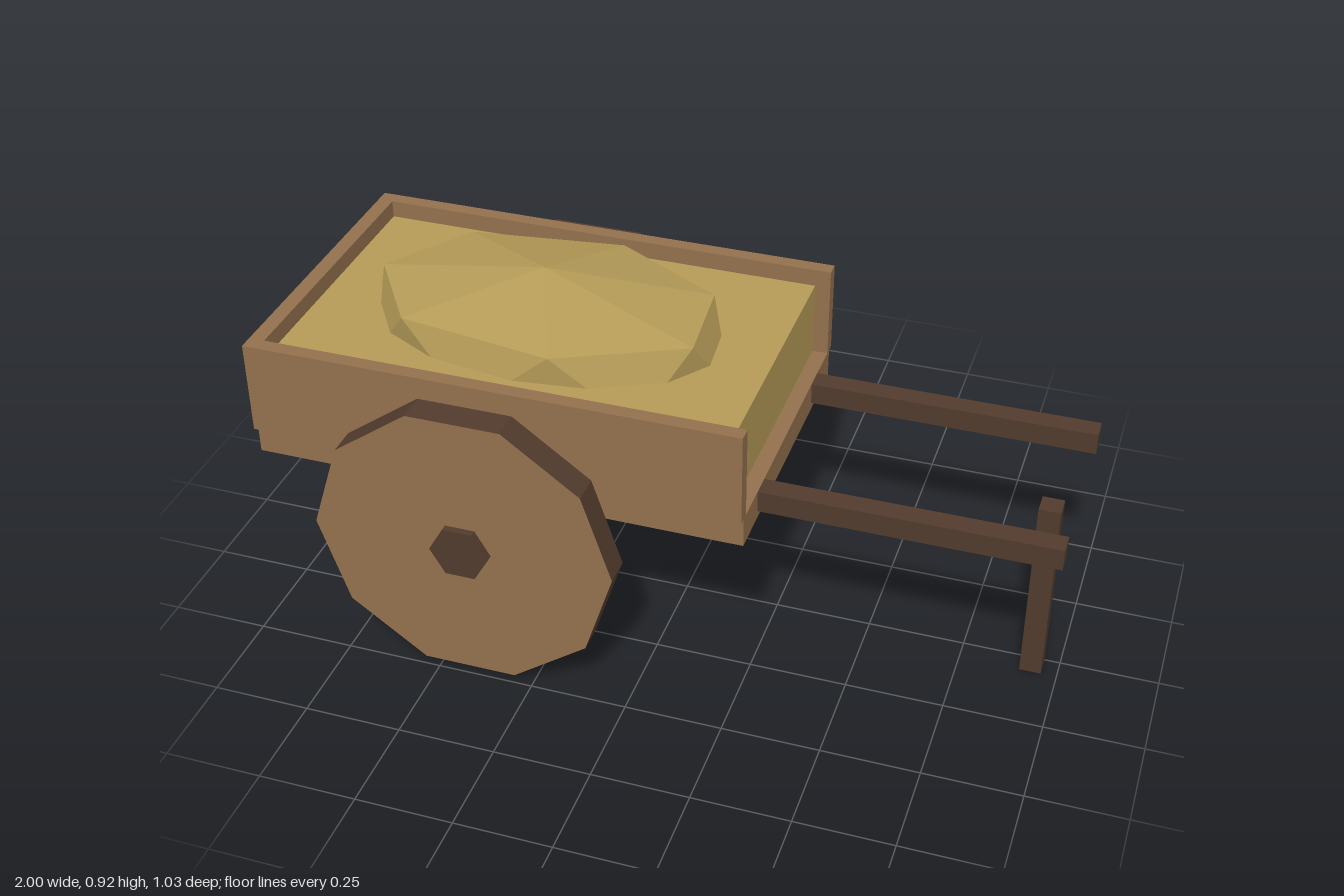
import * as THREE from 'three';

const mat = (name, color) => {
  const m = new THREE.MeshStandardMaterial({ color, side: THREE.DoubleSide });
  m.name = name;
  return m;
};

// Faceted normals baked into the geometry
const faceted = (geo) => {
  const g = geo.index ? geo.toNonIndexed() : geo;
  g.computeVertexNormals();
  return g;
};

// Leaves out the triangles of one material group, such as a box underside
const without = (geo, group) => {
  const { start, count } = geo.groups[group];
  const index = Array.from(geo.index.array);
  index.splice(start, count);
  geo.setIndex(index);
  geo.clearGroups();
  return geo;
};
const UNDERSIDE = 3, BACK_CAP = 2;

export function createModel() {
  const cart = new THREE.Group();
  cart.name = 'handCart';
  const plank = mat('plankBrown', 0x92704c);
  const dark = mat('darkWood', 0x513b2d);
  const hay = mat('hayYellow', 0xb59b58);

  const add = (name, geo, material) => {
    const mesh = new THREE.Mesh(geo, material);
    mesh.name = name;
    cart.add(mesh);
    return mesh;
  };
  // Box given by its extents on each axis, optionally open below
  const box = (name, material, [x0, x1], [y0, y1], [z0, z1], open = false) => {
    const g = new THREE.BoxGeometry(x1 - x0, y1 - y0, z1 - z0);
    add(name, open ? without(g, UNDERSIDE) : g, material)
      .position.set((x0 + x1) / 2, (y0 + y1) / 2, (z0 + z1) / 2);
  };
  // Many-sided disc lying across the cart, with corners on its x axis
  const disc = (name, material, r, sides, [z0, z1], open = false) => {
    const g = new THREE.CylinderGeometry(r, r, z1 - z0, sides, 1, false, Math.PI / 2);
    g.rotateX(Math.PI / 2);
    add(name, faceted(open ? without(g, BACK_CAP) : g), material)
      .position.set(-0.416, 0.391, (z0 + z1) / 2);
  };

  // Bed, hollow underneath, and the wall opposite the handles
  box('bed', plank, [-1, 0.265], [0.488, 0.566], [-0.388, 0.388], true);
  box('endWall', plank, [-1, -0.96], [0.566, 0.81], [-0.37, 0.37]);

  // Parts paired across the cart
  for (const s of [1, -1]) {
    const side = s > 0 ? 'front' : 'back';
    const span = (a, b) => (s > 0 ? [a, b] : [-b, -a]);
    box(side + 'Wall', plank, [-1, 0.265], [0.566, 0.81], span(0.37, 0.408));
    box(side + 'Handle', dark, [0.265, 1], [0.508, 0.565], span(0.216, 0.272), true);
    disc(side + 'Wheel', [dark, plank, dark], 0.389, 10, span(0.421, 0.497));
    disc(side + 'Hub', dark, 0.077, 6, span(0.401, 0.515), true);
  }

  // Prop leg
  box('propLeg', dark, [0.905, 0.96], [0, 0.508], [0, 0.056]);

  // Hay load and its faceted mound
  box('hayLoad', hay, [-0.96, 0.225], [0.567, 0.764], [-0.37, 0.37]);
  const rim = [
    [-0.815, -0.01], [-0.665, -0.235], [-0.265, -0.29], [0.03, -0.125],
    [0.055, 0.125], [-0.26, 0.277], [-0.665, 0.215],
  ];
  const n = rim.length, cx = -0.37, push = 1.15;
  const apex = [cx, 0.917, 0];
  const upper = rim.map(([x, z]) => [x, 0.84, z]);
  // Lower ring sits between the rim corners, pushed outwards
  const lower = rim.map(([x, z], i) => {
    const [x2, z2] = rim[(i + 1) % n];
    return [cx + 0.01 + ((x + x2) / 2 - cx) * push, 0.67, 0.01 + ((z + z2) / 2) * push];
  });
  const pts = [];
  for (let i = 0; i < n; i++) {
    const j = (i + 1) % n;
    pts.push(apex, upper[j], upper[i]);
    pts.push(upper[i], upper[j], lower[i]);
    pts.push(lower[i], upper[j], lower[j]);
  }
  const mound = new THREE.BufferGeometry();
  mound.setAttribute('position', new THREE.Float32BufferAttribute(pts.flat(), 3));
  add('hayMound', faceted(mound), hay);

  return cart;
}
